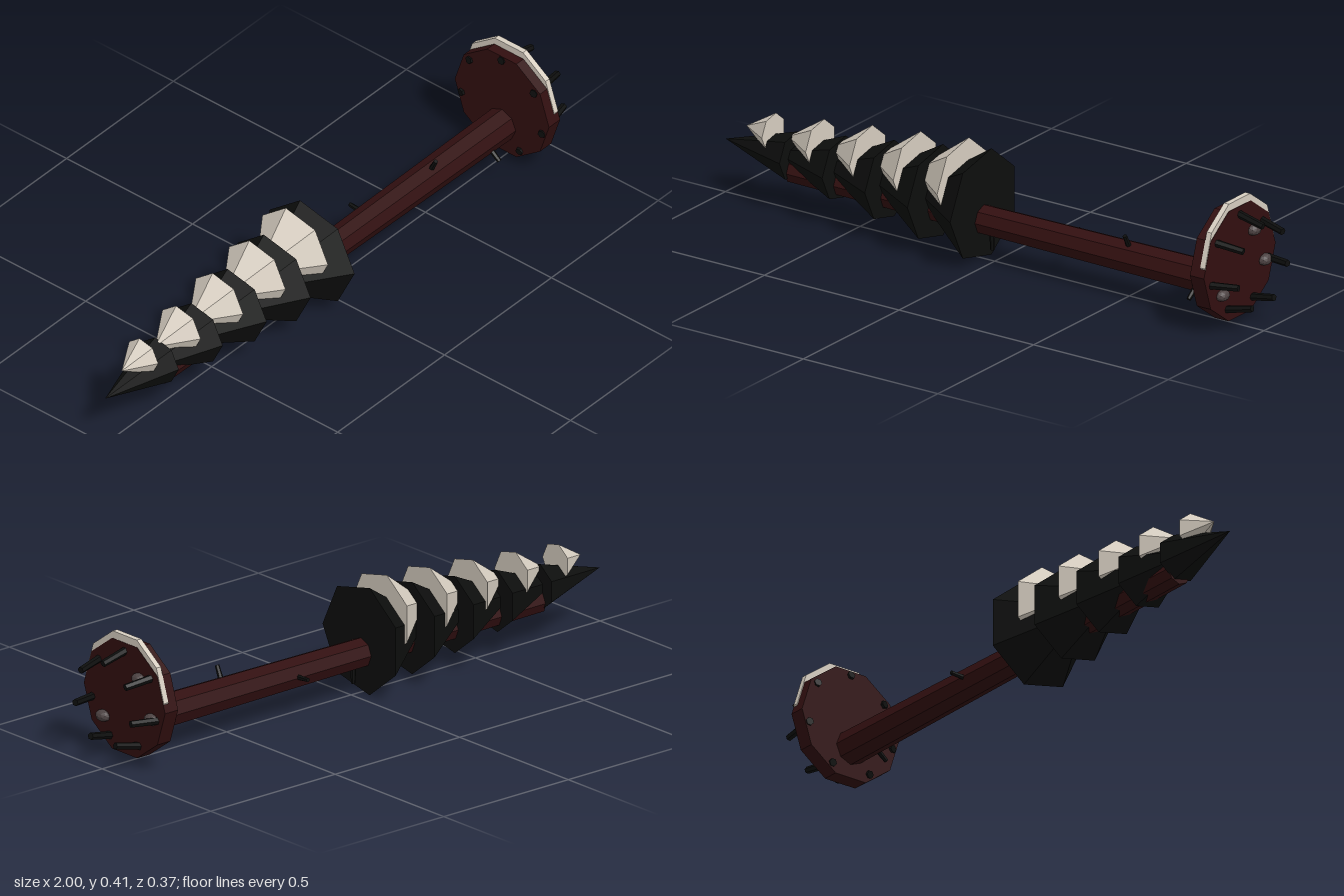
import * as THREE from 'three';

export function createModel() {
  const group = new THREE.Group();
  const paint = (name, color) => {
    const m = new THREE.MeshStandardMaterial({ color, flatShading: true });
    m.name = name;
    return m;
  };
  const bark = paint('bark', 0x320f10);
  const needles = paint('needles', 0x0d0e0d);
  const snow = paint('snow', 0xd8cfc2);
  const stone = paint('stone', 0x4c4242);

  const add = (name, geometry, material, x, y, z) => {
    const mesh = new THREE.Mesh(geometry, material);
    mesh.name = name;
    mesh.position.set(x, y, z);
    group.add(mesh);
    return mesh;
  };
  // Lies along x: the geometry's top points to -x, corner 0 stays at +z
  const along = (name, geometry, material, x, y) => {
    const mesh = add(name, geometry, material, x, y, 0);
    mesh.rotation.z = Math.PI / 2;
    return mesh;
  };
  // Tapered stick between two points
  const stick = (name, a, b, r0, r1) => {
    const from = new THREE.Vector3(...a), to = new THREE.Vector3(...b);
    const dir = to.clone().sub(from);
    const mid = from.clone().addScaledVector(dir, 0.5);
    const mesh = add(name, new THREE.CylinderGeometry(r1, r0, dir.length(), 6), needles, mid.x, mid.y, mid.z);
    mesh.quaternion.setFromUnitVectors(new THREE.Vector3(0, 1, 0), dir.normalize());
  };

  // Fallen trunk, thicker toward the roots
  along('trunk', new THREE.CylinderGeometry(0.041, 0.055, 1.62, 8), bark, 0.06, 0.13);

  // Tiers of branches, each with a snow cap set above its axis
  for (let i = 0; i < 5; i++) {
    const r = 0.177 - i * 0.025, length = 0.262 - i * 0.002;
    const base = -0.04 - i * 0.1762;
    along('branchTier', new THREE.ConeGeometry(r, length, 7), needles, base - length / 2, 0.175);
    const capR = 0.137 - i * 0.019, capL = 0.18 - i * 0.02;
    along('snowCap', new THREE.ConeGeometry(capR, capL, 7), snow, base - 0.077 - capL / 2, 0.235);
  }

  // Root plate with snow along its upper rim
  along('rootPlate', new THREE.CylinderGeometry(0.187, 0.187, 0.052, 10), bark, 0.884, 0.209);
  along('rootSnow', new THREE.CylinderGeometry(0.18, 0.18, 0.018, 10), snow, 0.9, 0.239);

  // Roots through the plate, converging outward
  for (let i = 0; i < 7; i++) {
    const a = Math.PI / 2 + (i * Math.PI * 2) / 7;
    const ring = (x, r) => [x, 0.209 + r * Math.sin(a), r * Math.cos(a)];
    stick('root', ring(0.852, 0.165), ring(0.997, 0.131), 0.013, 0.011);
  }

  // Stones caught in the root plate
  for (const [y, z] of [[0.128, 0.095], [0.29, -0.07], [0.175, -0.127]]) {
    const rock = add('stone', new THREE.IcosahedronGeometry(0.027, 1), stone, 0.913, y, z);
    rock.scale.set(0.8, 0.7, 1);
  }

  // Broken twigs on the trunk
  stick('twig', [-0.01, 0.1, 0], [-0.008, 0.038, 0], 0.009, 0.007);
  stick('twig', [0.25, 0.13, -0.03], [0.252, 0.135, -0.09], 0.009, 0.007);
  stick('twig', [0.51, 0.16, 0.01], [0.508, 0.21, 0.035], 0.009, 0.007);
  stick('twig', [0.768, 0.11, 0.02], [0.768, 0.073, 0.067], 0.009, 0.007);

  return group;
}
